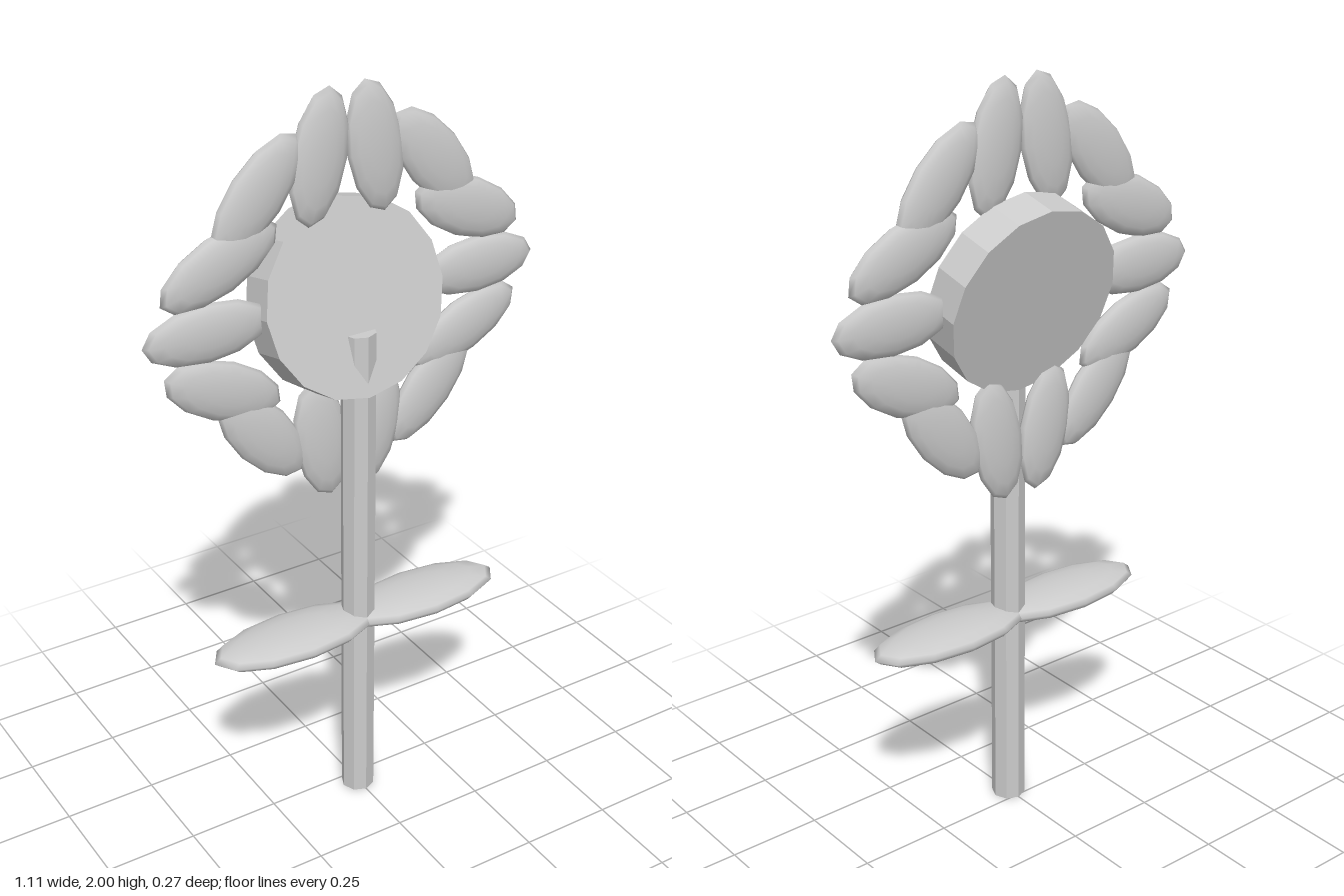
import * as THREE from 'three';

const material = new THREE.MeshStandardMaterial({ color: 0xcccccc });
const flatMaterial = new THREE.MeshStandardMaterial({ color: 0xcccccc, flatShading: true });

// Flattened low-poly ellipsoid, long along x and thin along z
function blade(halfLength, halfWidth, halfThickness) {
  return new THREE.SphereGeometry(1, 12, 8)
    .rotateX(Math.PI / 2)
    .scale(halfLength, halfWidth, halfThickness);
}

export function createModel() {
  const flower = new THREE.Group();
  flower.name = 'flower';
  const add = (name, geometry, mat, x, y, z) => {
    const mesh = new THREE.Mesh(geometry, mat);
    mesh.name = name;
    mesh.position.set(x, y, z);
    flower.add(mesh);
    return mesh;
  };

  // Stem, its top poking through the flower centre
  add('stem', new THREE.CylinderGeometry(0.045, 0.045, 1.39, 8), flatMaterial, 0, 0.695, 0.035);

  // Flower centre: a thick disc tilted slightly upward
  const disc = add('flowerCentre', new THREE.CylinderGeometry(0.25, 0.25, 0.105, 16), flatMaterial, 0, 1.46, -0.023);
  disc.rotation.x = Math.PI / 2 - 0.244;

  // Petals: one quadrant as [x, y offset, angle in degrees], mirrored
  const petalGeometry = blade(0.17, 0.077, 0.028);
  const quadrant = [[0.077, 0.37, -80], [0.245, 0.31, -50], [0.348, 0.162, -24]];
  const centreY = 1.46;
  for (const sx of [1, -1]) {
    add('petal', petalGeometry, material, sx * 0.385, centreY, -0.017);
    for (const sy of [1, -1]) {
      for (const [x, y, angle] of quadrant) {
        const petal = add('petal', petalGeometry, material, sx * x, centreY + sy * y, -0.017);
        petal.rotation.z = sx * sy * THREE.MathUtils.degToRad(angle);
      }
    }
  }

  // Pair of horizontal leaves
  const leafGeometry = blade(0.24, 0.1, 0.035).rotateX(Math.PI / 2);
  add('leftLeaf', leafGeometry, material, 0.19, 0.56, 0.035);
  add('rightLeaf', leafGeometry, material, -0.19, 0.56, 0.035);

  return flower;
}
